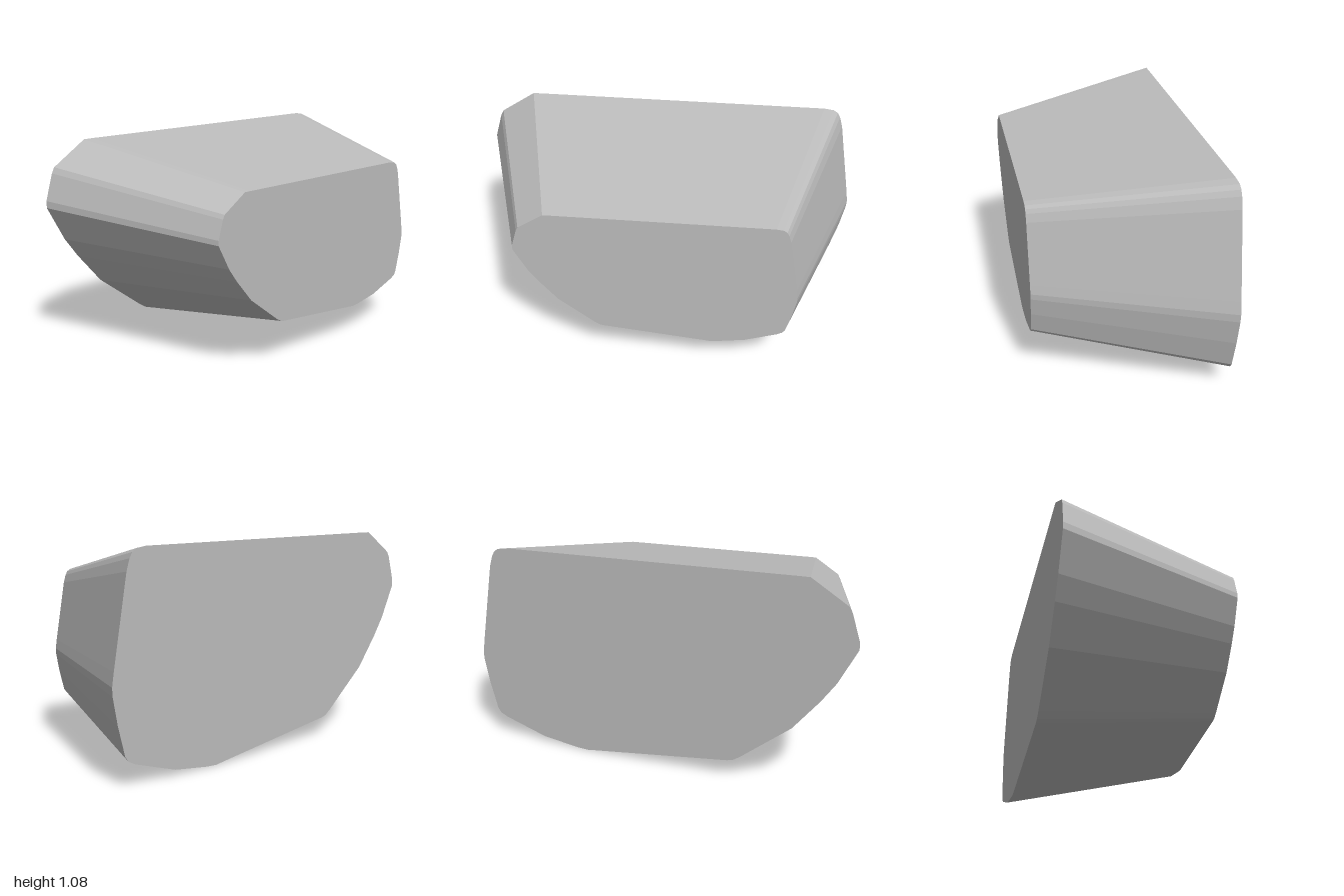
import * as THREE from 'three';

// Outline of the large back face, counter-clockwise from the top left
const outline = [
  [-0.765, 1.077], [-0.945, 0.963], [-0.96, 0.935], [-1, 0.805], [-1, 0.77],
  [-0.91, 0.595], [-0.84, 0.495], [-0.71, 0.335], [-0.46, 0.135], [-0.42, 0.108], [-0.39, 0.1],
  [0.34, 0.007], [0.39, 0], [0.45, 0.003], [0.65, 0.03], [0.88, 0.103],
  [0.918, 0.122], [0.935, 0.145], [0.973, 0.29], [0.998, 0.42], [1, 0.46], [0.99, 0.525],
  [0.915, 0.945], [0.898, 1.0], [0.883, 1.026], [0.86, 1.042], [0.81, 1.05], [-0.72, 1.077],
];

const DEPTH = 0.905;
const TAPER = 0.7; // front face size relative to the back
const SHIFT = new THREE.Vector2(-0.02, 0.165); // offset of the front face

export function createModel() {
  const group = new THREE.Group();
  group.name = 'taperedBlock';

  const stone = new THREE.MeshStandardMaterial({ color: 0xbcbcbc });
  stone.name = 'grey stone';

  // Extrude the outline, then shrink the front end
  const shape = new THREE.Shape(outline.map(([x, y]) => new THREE.Vector2(x, y)));
  const geometry = new THREE.ExtrudeGeometry(shape, { depth: DEPTH, bevelEnabled: false });
  geometry.translate(0, 0, -DEPTH / 2);
  const p = geometry.attributes.position;
  for (let i = 0; i < p.count; i++) {
    if (p.getZ(i) > 0) {
      p.setXY(i, p.getX(i) * TAPER + SHIFT.x, p.getY(i) * TAPER + SHIFT.y);
    }
  }
  geometry.computeVertexNormals(); // unshared corners keep every facet flat

  const block = new THREE.Mesh(geometry, stone);
  block.name = 'block';
  group.add(block);
  return group;
}
